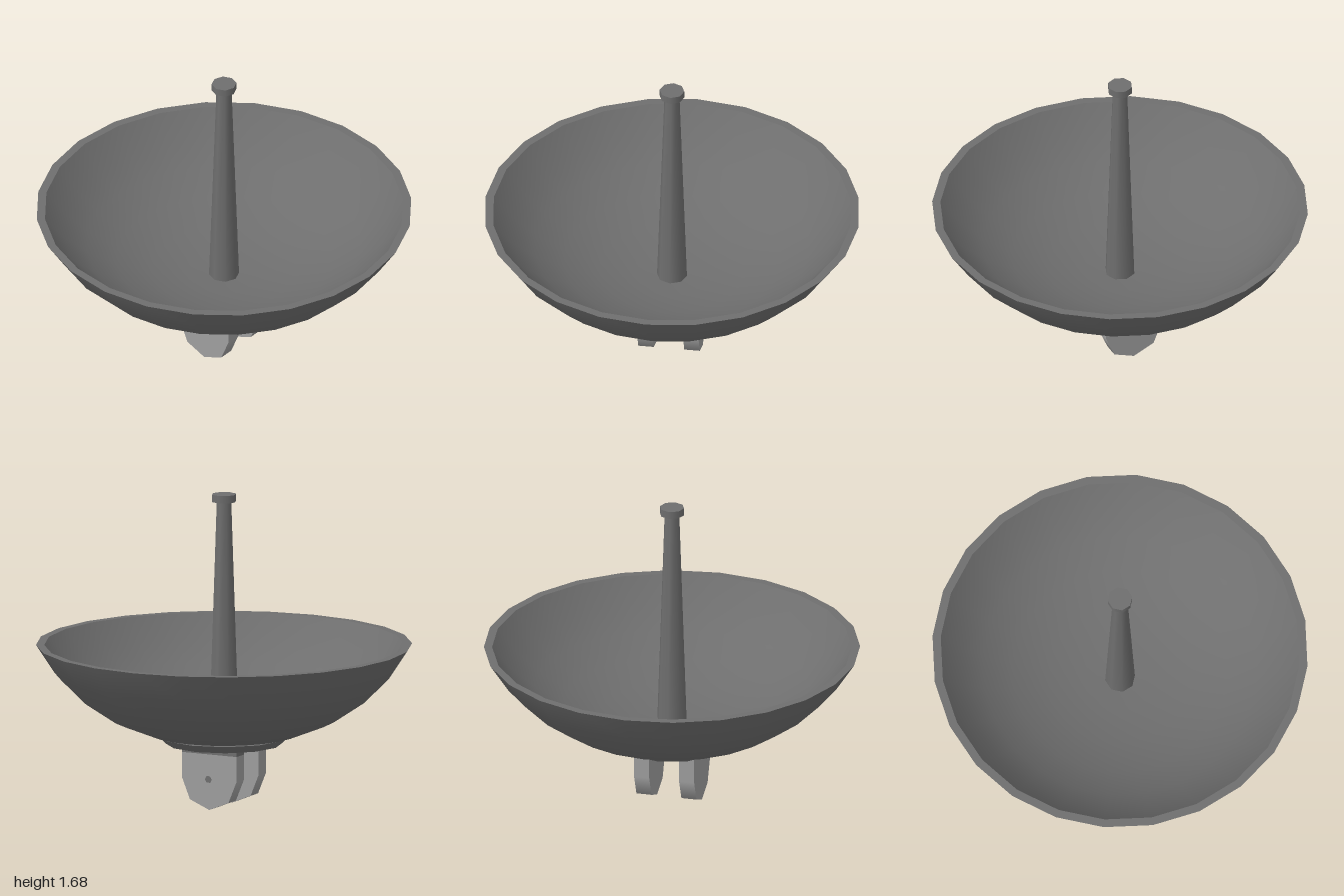
import * as THREE from 'three';

export function createModel() {
  const group = new THREE.Group();
  const darkMetal = new THREE.MeshStandardMaterial({ color: 0x6e6e6e });
  darkMetal.name = 'darkMetal';
  const lightMetal = new THREE.MeshStandardMaterial({ color: 0x9e9e9e });
  lightMetal.name = 'lightMetal';

  const add = (name, geometry, material, x = 0, y = 0, z = 0) => {
    const mesh = new THREE.Mesh(geometry, material);
    mesh.name = name;
    mesh.position.set(x, y, z);
    group.add(mesh);
    return mesh;
  };
  const lathe = (points, sides) =>
    new THREE.LatheGeometry(points.map(([r, y]) => new THREE.Vector2(r, y)), sides);

  // Dish: outer shell, flat rim and shallower inner shell
  const outer = [[0, 0.345], [0.2, 0.355], [0.4, 0.392], [0.6, 0.472], [0.765, 0.583], [0.9, 0.718], [1, 0.87]];
  const inner = outer.map(([r, y]) => [r * 0.956, 0.87 - (0.87 - y) * 0.8]).reverse();
  add('dishOuter', lathe(outer, 24), darkMetal);
  add('dishRim', lathe([[1, 0.87], [0.956, 0.87]], 24), darkMetal);
  add('dishInner', lathe(inner, 24), darkMetal);

  // Tapered collar under the dish
  add('baseCollar', new THREE.CylinderGeometry(0.35, 0.312, 0.04, 12), darkMetal, 0, 0.356);

  // Feed mast with its cap
  add('mast', new THREE.CylinderGeometry(0.04, 0.081, 1.22, 8), darkMetal, 0, 1.04);
  add('mastCap', new THREE.CylinderGeometry(0.066, 0.066, 0.04, 8), darkMetal, 0, 1.66);

  // Mounting lugs: straight sides above a half octagon, smooth around the bottom
  const R = 0.165, width = 0.083, top = 0.3;
  const profile = new THREE.Shape();
  profile.moveTo(R, top);
  profile.lineTo(-R, top);
  for (let i = 0; i <= 4; i++) {
    const a = Math.PI + (i * Math.PI) / 4;
    profile.lineTo(R * Math.cos(a), R + R * Math.sin(a));
  }
  const lugGeometry = new THREE.ExtrudeGeometry(profile, { depth: width, bevelEnabled: false });
  lugGeometry.rotateY(Math.PI / 2).translate(-width / 2, 0, 0);
  const p = lugGeometry.attributes.position, n = lugGeometry.attributes.normal;
  for (let i = 0; i < p.count; i++) {
    if (Math.abs(n.getX(i)) < 0.5 && p.getY(i) < R + 0.001) {
      n.setXYZ(i, 0, (p.getY(i) - R) / R, p.getZ(i) / R);
    }
  }
  for (const [side, sign] of [['left', 1], ['right', -1]]) {
    add(side + 'Lug', lugGeometry, lightMetal, sign * 0.1235);
    add(side + 'LugRoot', new THREE.BoxGeometry(width, 0.06, 2 * R), darkMetal, sign * 0.1235, top + 0.03);
  }

  // Pivot pin head on the outer face of the left lug
  const pin = add('pivotPin', new THREE.CylinderGeometry(0.02, 0.02, 0.006, 6), darkMetal, 0.165, R, 0.005);
  pin.rotation.z = -Math.PI / 2;

  return group;
}
